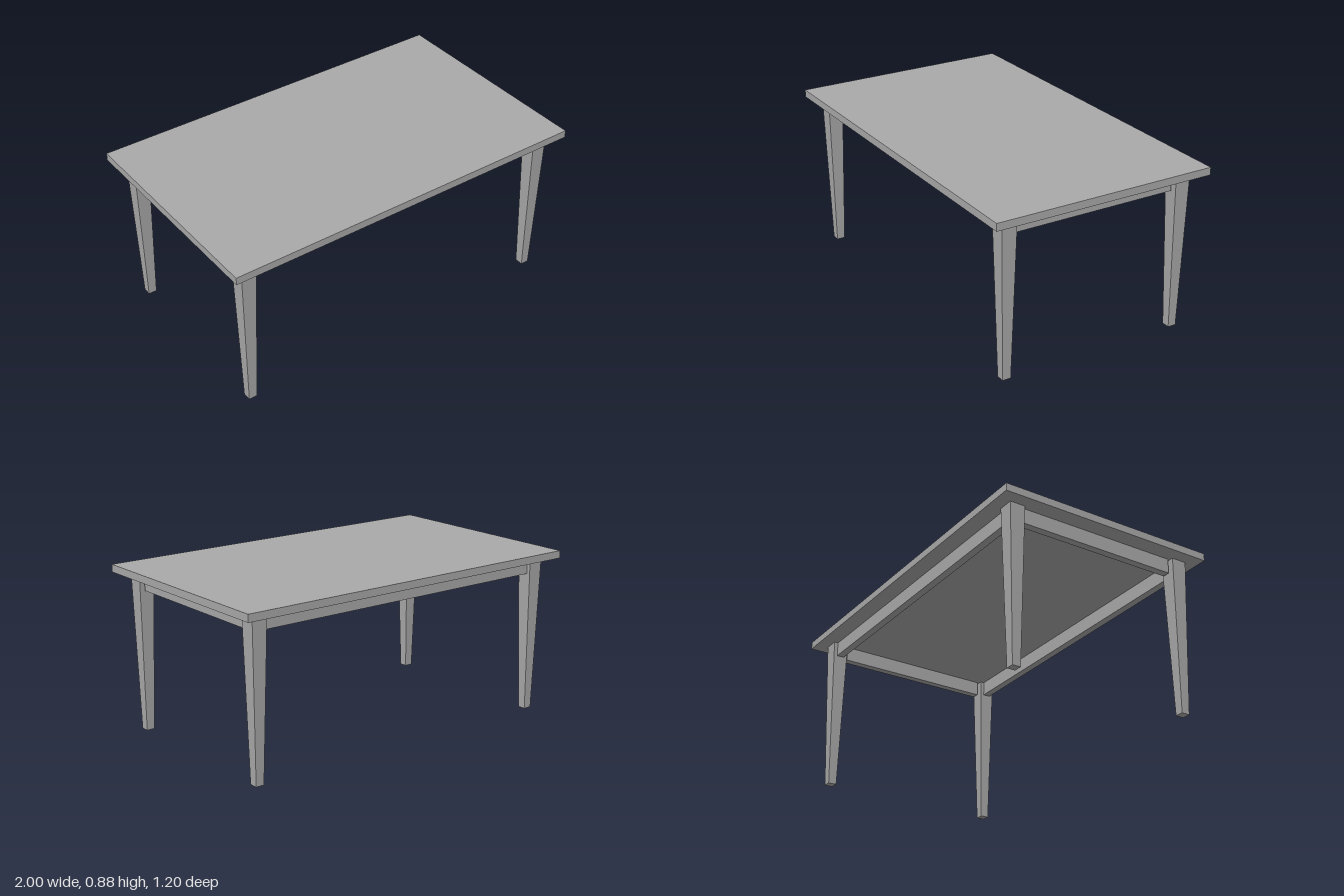
import * as THREE from 'three';

const TOP_Y = 0.875, UNDER_Y = 0.835; // faces of the tabletop
const LEG_X = 0.89, LEG_Z = 0.49; // leg centre lines

export function createModel() {
  const table = new THREE.Group();
  table.name = 'table';

  const grey = new THREE.MeshStandardMaterial({ color: 0xaaaaaa });
  grey.name = 'grey';

  const add = (name, geometry, x, y, z) => {
    const mesh = new THREE.Mesh(geometry, grey);
    mesh.name = name;
    mesh.position.set(x, y, z);
    table.add(mesh);
  };

  // Tabletop slab
  add('tabletop', new THREE.BoxGeometry(2, TOP_Y - UNDER_Y, 1.2), 0, (TOP_Y + UNDER_Y) / 2, 0);

  // Square legs, tapering to the floor
  const leg = new THREE.CylinderGeometry(0.0415 * Math.SQRT2, 0.0225 * Math.SQRT2, UNDER_Y, 4)
    .rotateY(Math.PI / 4)
    .toNonIndexed();
  leg.computeVertexNormals();

  // Apron rails running between the legs
  const railHeight = 0.079, railY = UNDER_Y - railHeight / 2;
  const longRail = new THREE.BoxGeometry(1.706, railHeight, 0.04);
  const shortRail = new THREE.BoxGeometry(0.04, railHeight, 0.874);

  for (const s of [1, -1]) {
    const end = s > 0 ? 'front' : 'back';
    add(`${end}Apron`, longRail, 0, railY, s * LEG_Z);
    add(s > 0 ? 'leftApron' : 'rightApron', shortRail, s * LEG_X, railY, 0);
    add(`${end}LeftLeg`, leg, LEG_X, UNDER_Y / 2, s * LEG_Z);
    add(`${end}RightLeg`, leg, -LEG_X, UNDER_Y / 2, s * LEG_Z);
  }

  return table;
}
